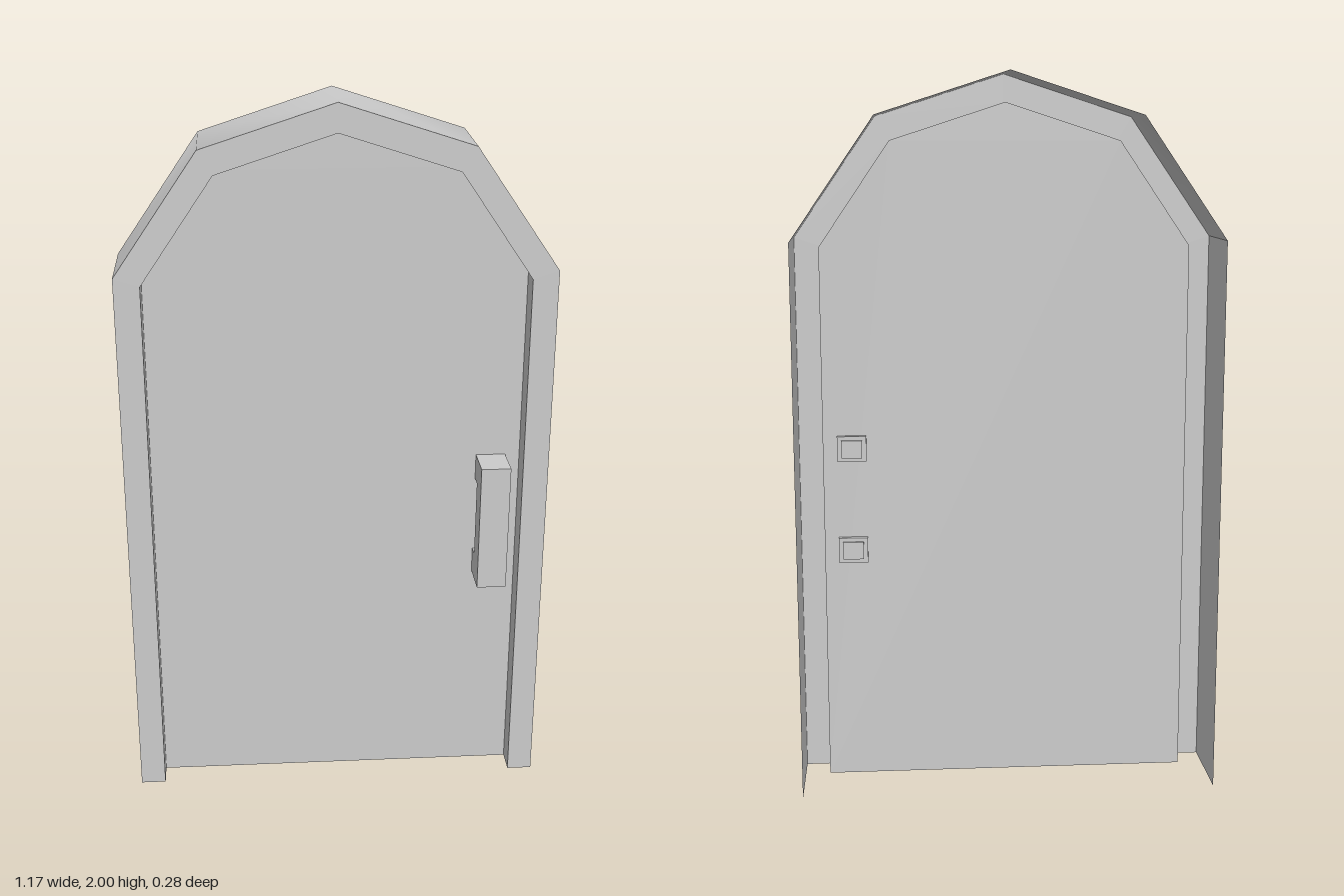
import * as THREE from 'three';

const FRONT = 0.105, BACK = -0.14, PANEL = 0.035;

// Arch outlines, running from the foot at +x over the peak to the foot at -x
const mirror = (half) => [...half, ...half.slice(0, -1).reverse().map(([x, y]) => [-x, y])];
const OUTER = mirror([[0.585, 0], [0.585, 1.555], [0.357, 1.885], [0, 2]]);
const INNER = mirror([[0.515, 0], [0.515, 1.532], [0.318, 1.82], [0, 1.923]]);

const material = new THREE.MeshStandardMaterial({ color: 0xcccccc, side: THREE.DoubleSide });

function addMesh(parent, name, geometry) {
  const mesh = new THREE.Mesh(geometry, material);
  mesh.name = name;
  parent.add(mesh);
  return mesh;
}

const toShape = (points) => new THREE.Shape(points.map(([x, y]) => new THREE.Vector2(x, y)));

// Sheet swept along z from an outline; normals are smooth along the outline
function strip(points, z0, z1) {
  const position = [], index = [];
  points.forEach(([x, y], i) => {
    position.push(x, y, z0, x, y, z1);
    const a = i * 2;
    if (i < points.length - 1) index.push(a, a + 2, a + 1, a + 1, a + 2, a + 3);
  });
  const geometry = new THREE.BufferGeometry();
  geometry.setAttribute('position', new THREE.Float32BufferAttribute(position, 3));
  geometry.setIndex(index);
  geometry.computeVertexNormals();
  return geometry;
}

// Two flat jambs and a smooth arch between them
function addWalls(parent, name, points, z0, z1) {
  addMesh(parent, name + 'JambA', strip(points.slice(0, 2), z0, z1));
  addMesh(parent, name + 'Arch', strip(points.slice(1, -1), z0, z1));
  addMesh(parent, name + 'JambB', strip(points.slice(-2), z0, z1));
}

export function createModel() {
  const model = new THREE.Group();
  model.name = 'archedDoor';

  // Frame: outer shell open at the back, front trim and inner reveal
  const frame = new THREE.Group();
  frame.name = 'frame';
  model.add(frame);
  addWalls(frame, 'outer', OUTER, BACK, FRONT);
  addWalls(frame, 'reveal', [...INNER].reverse(), PANEL, FRONT);
  const trim = new THREE.ShapeGeometry(toShape([...OUTER, ...[...INNER].reverse()]));
  addMesh(frame, 'frontTrim', trim.translate(0, 0, FRONT));

  // Door leaf, recessed behind the trim
  addMesh(model, 'doorPanel', new THREE.ShapeGeometry(toShape(INNER)).translate(0, 0, PANEL));

  // Handle: C-shaped pull whose legs pass through the door
  const handle = new THREE.Group();
  handle.name = 'handle';
  model.add(handle);
  const legEnd = 0.02, grip = 0.07, width = 0.082;
  const profile = toShape([
    [legEnd, 0.64], [0.14, 0.64], [0.14, 1.005], [legEnd, 1.005],
    [legEnd, 0.933], [grip, 0.933], [grip, 0.712], [legEnd, 0.712],
  ]);
  const pull = new THREE.ExtrudeGeometry(profile, { depth: width, bevelEnabled: false });
  addMesh(handle, 'pull', pull.rotateY(-Math.PI / 2).translate(0.475, 0, 0));

  // Small raised caps on the leg ends
  for (const y of [0.676, 0.969]) {
    const cap = addMesh(handle, 'legCap', new THREE.BoxGeometry(0.058, 0.05, 0.006));
    cap.position.set(0.475 - width / 2, y, legEnd - 0.003);
  }
  return model;
}
